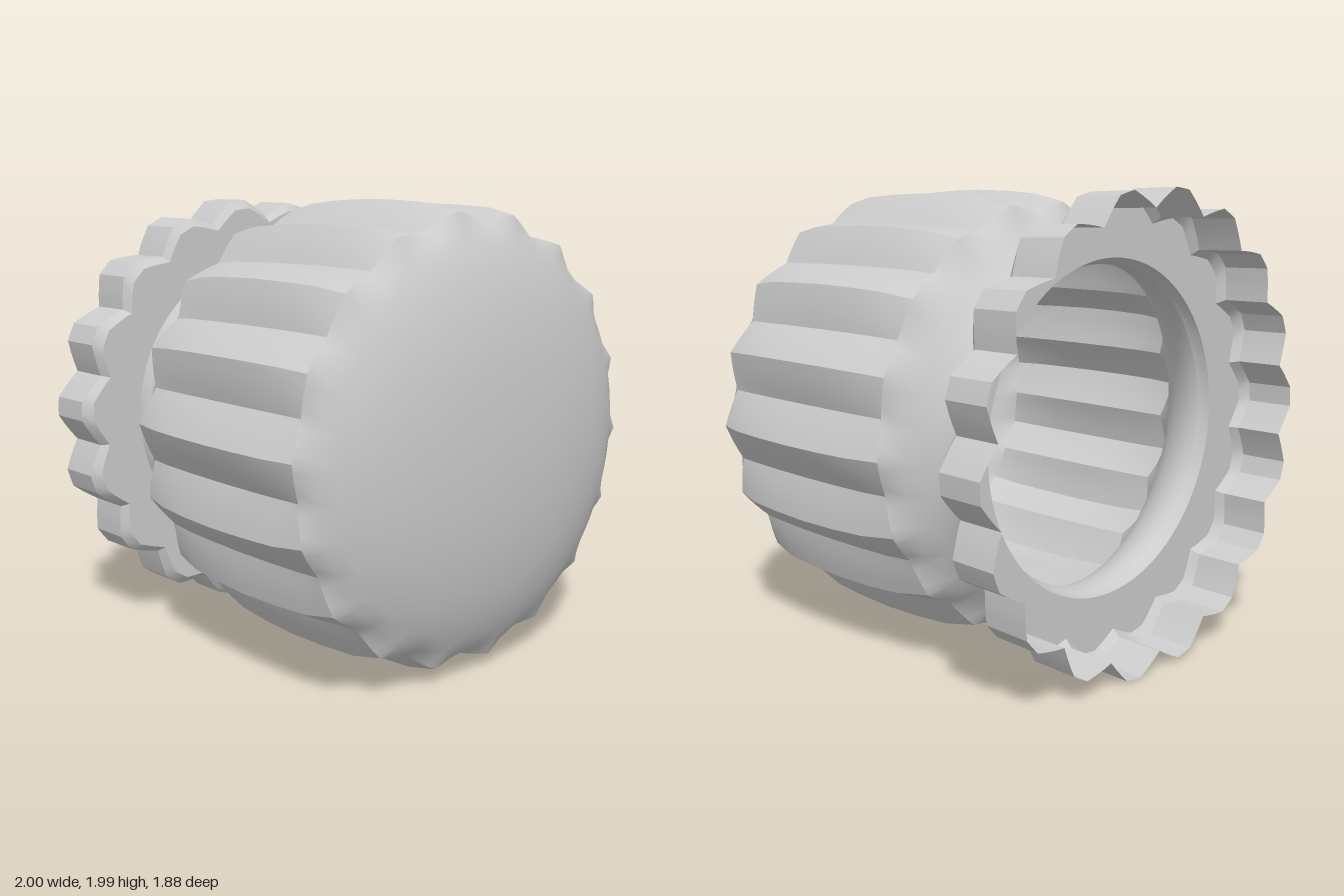
import * as THREE from 'three';
import { toCreasedNormals } from 'three/addons/utils/BufferGeometryUtils.js';

const RIDGES = 18;
const PER_RIDGE = 8;
const PHASE = THREE.MathUtils.degToRad(17);

// Skin rings running front to back. Each ring is
// [z at ridge, radius at ridge, z at groove, radius at groove] or [z, radius] for a plain circle.
// "flat" is the share of each ridge that is flat-topped.
function ringSkin(rings, flat = 0, crease = 0.45) {
  const n = RIDGES * PER_RIDGE;
  const pos = [];
  const index = [];
  for (const [zr, rr, zg = zr, rg = rr] of rings) {
    for (let j = 0; j < n; j++) {
      const t = Math.abs(((j / PER_RIDGE + 0.5) % 1) - 0.5) * 2; // 0 on the ridge, 1 in the groove
      const f = Math.max(0, (t - flat) / (1 - flat));
      const r = rr + (rg - rr) * f;
      const a = PHASE + (j / n) * Math.PI * 2;
      pos.push(r * Math.cos(a), r * Math.sin(a), zr + (zg - zr) * f);
    }
  }
  for (let i = 0; i < rings.length - 1; i++) {
    for (let j = 0; j < n; j++) {
      const a = i * n + j, b = i * n + (j + 1) % n;
      const c = a + n, d = b + n;
      if (rings[i][1] > 0) index.push(a, c, b);
      index.push(b, c, d);
    }
  }
  const g = new THREE.BufferGeometry();
  g.setAttribute('position', new THREE.Float32BufferAttribute(pos, 3));
  g.setIndex(index);
  return toCreasedNormals(g, crease);
}

export function createModel() {
  const model = new THREE.Group();
  model.name = 'ridgedKnob';
  const material = new THREE.MeshStandardMaterial({ color: 0xcccccc, side: THREE.DoubleSide });

  const add = (name, geometry) => {
    const mesh = new THREE.Mesh(geometry, material);
    mesh.name = name;
    mesh.position.y = 1;
    model.add(mesh);
  };

  // Edges shared by the grip and its neighbours
  const gripFront = [0.74, 0.95, 0.71, 0.905];
  const gripBack = [-0.32, 0.945, -0.285, 0.90];

  // Softly domed front cap
  add('frontCap', ringSkin([
    [0.94, 0], [0.937, 0.15], [0.927, 0.32], [0.91, 0.46], [0.885, 0.59],
    [0.855, 0.7], [0.815, 0.8], [0.775, 0.87], gripFront,
  ], 0, 0.7));

  // Slightly barrelled grip with sharp ridges and grooves
  add('grip', ringSkin([
    gripFront,
    [0.6, 0.982, 0.6, 0.912],
    [0.42, 0.994, 0.42, 0.918],
    [0.22, 1.0, 0.22, 0.92],
    [0.02, 0.994, 0.02, 0.918],
    [-0.16, 0.98, -0.16, 0.912],
    gripBack,
  ]));

  // Waisted neck
  add('neck', ringSkin([
    gripBack, [-0.36, 0.86], [-0.41, 0.79], [-0.46, 0.742], [-0.51, 0.71],
    [-0.56, 0.692], [-0.61, 0.685], [-0.645, 0.695],
  ], 0, 0.7));

  // Short collar joining neck and flange
  add('collar', ringSkin([[-0.645, 0.695], [-0.66, 0.705], [-0.695, 0.715]]));

  // Flange: flat web, chamfered lip and a toothed rim open at the back
  add('flange', ringSkin([
    [-0.695, 0.715], [-0.695, 0.86],
    [-0.695, 0.955, -0.695, 0.885],
    [-0.73, 0.995, -0.73, 0.915],
    [-0.945, 1.0, -0.945, 0.918],
  ], 0.25));

  return model;
}
